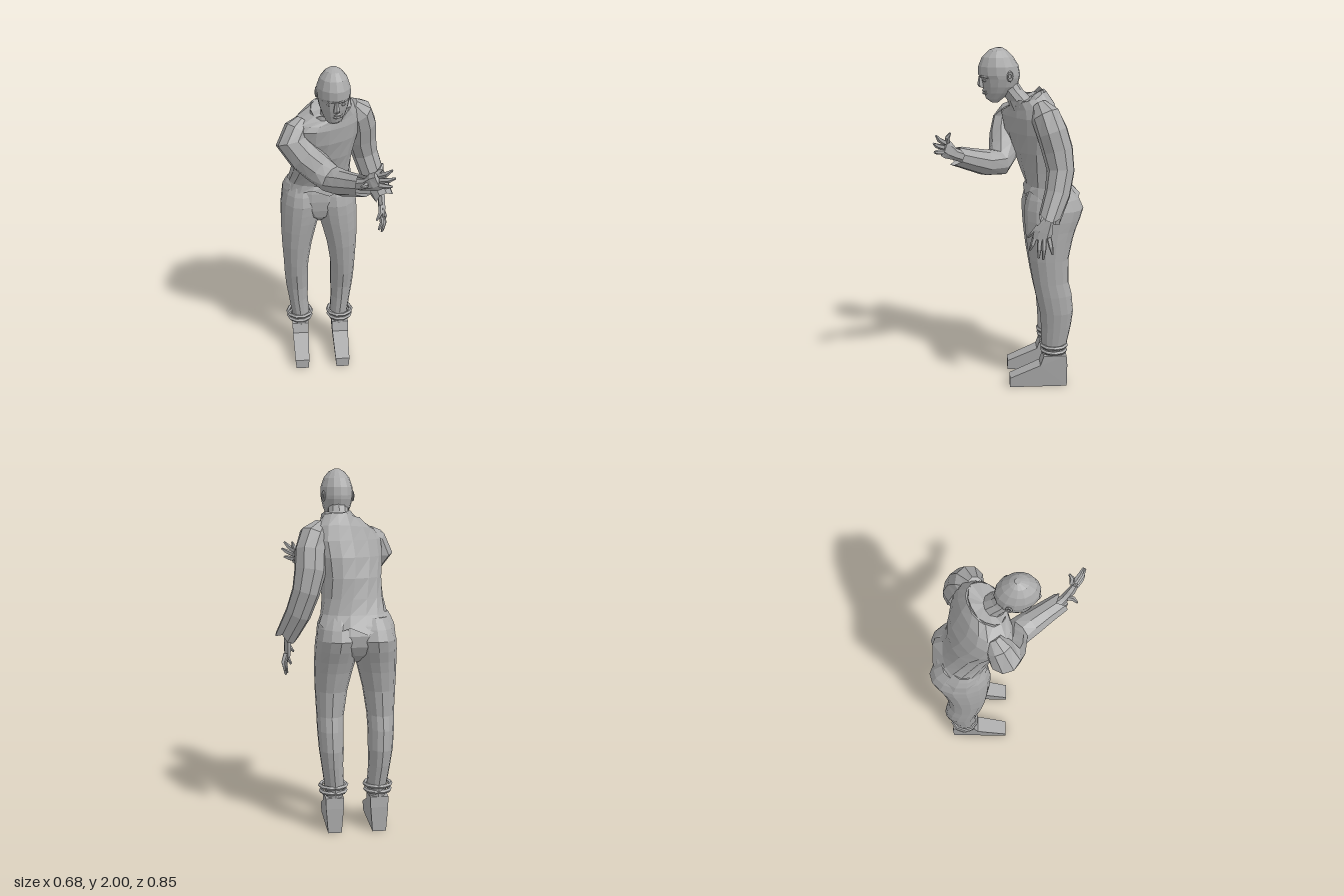
import * as THREE from 'three';

const grey = new THREE.MeshStandardMaterial({ color: 0xaaaaaa });
grey.name = 'plain grey';
grey.flatShading = true;
grey.side = THREE.DoubleSide;

// Skin through elliptical rings [x, y, z, radiusA, radiusB, yaw, slope].
// upright: rings lie level (A across x, B along z); otherwise they follow the path, with A along ref x path.
function loft(name, rings, o = {}) {
  const { seg = 9, upright = false, ref = [0, 0, 1], square = 1, jagStart = 0, jagEnd = 0, capStart = true, capEnd = true } = o;
  const C = rings.map(r => new THREE.Vector3(r[0], r[1], r[2]));
  const pos = [], idx = [], n = rings.length;
  const bend = v => 1.03 * Math.sign(v) * Math.abs(v) ** square;
  rings.forEach((r, k) => {
    const [, , , a, b = a, yaw = 0, slope = 0] = r;
    const T = upright ? new THREE.Vector3(0, 1, 0)
      : C[Math.min(k + 1, n - 1)].clone().sub(C[Math.max(k - 1, 0)]).normalize();
    const U = upright ? new THREE.Vector3(Math.cos(yaw), 0, -Math.sin(yaw))
      : new THREE.Vector3(...ref).cross(T).normalize();
    const V = T.clone().cross(U);
    const jag = k === 0 ? jagStart : k === n - 1 ? jagEnd : 0;
    for (let i = 0; i < seg; i++) {
      const t = (i + 0.5) / seg * Math.PI * 2;
      const p = C[k].clone().addScaledVector(U, a * bend(Math.cos(t))).addScaledVector(V, b * bend(Math.sin(t)));
      p.y += (p.z - C[k].z) * slope;
      p.addScaledVector(T, jag * Math.sin(i * 2.4 + 1));
      pos.push(p.x, p.y, p.z);
    }
  });
  for (let k = 0; k < n - 1; k++) for (let i = 0; i < seg; i++) {
    const a = k * seg + i, b = k * seg + (i + 1) % seg;
    idx.push(a, b, b + seg, a, b + seg, a + seg);
  }
  const cap = (k, flip) => {
    const c = pos.length / 3;
    pos.push(C[k].x, C[k].y, C[k].z);
    for (let i = 0; i < seg; i++) {
      const a = k * seg + i, b = k * seg + (i + 1) % seg;
      flip ? idx.push(c, b, a) : idx.push(c, a, b);
    }
  };
  if (capStart) cap(0, true);
  if (capEnd) cap(n - 1, false);
  const g = new THREE.BufferGeometry();
  g.setAttribute('position', new THREE.Float32BufferAttribute(pos, 3));
  g.setIndex(idx);
  g.computeVertexNormals();
  const m = new THREE.Mesh(g, grey);
  m.name = name;
  return m;
}

// Palm plus five bent fingers; each finger is [base, tip]
function hand(name, palm, ref, fingers, curl) {
  const g = new THREE.Group();
  g.name = name;
  g.add(loft('palm', palm, { seg: 6, ref }));
  for (const [b, t] of fingers) {
    const mid = b.map((v, i) => (v + t[i]) / 2 + curl[i]);
    g.add(loft('finger', [[...b, 0.015], [...mid, 0.013], [...t, 0.006]], { seg: 5, ref }));
  }
  return g;
}

function shoe() {
  const s = new THREE.Shape();
  [[0, 0], [0, 0.06], [0.18, 0.14], [0.2, 0.2], [0.335, 0.2], [0.34, 0.14], [0.34, 0]]
    .forEach(([x, y], i) => i ? s.lineTo(x, y) : s.moveTo(x, y));
  const g = new THREE.ExtrudeGeometry(s, { depth: 0.1, bevelEnabled: false });
  g.translate(0, 0, -0.05).rotateY(Math.PI / 2);
  const p = g.attributes.position;
  // narrow towards the sole
  for (let i = 0; i < p.count; i++) p.setX(i, p.getX(i) * (0.76 + 0.26 * Math.min(1, p.getY(i) / 0.16)));
  g.computeVertexNormals();
  const m = new THREE.Mesh(g, grey);
  m.name = 'shoe';
  return m;
}

function makeHead() {
  const g = new THREE.Group();
  g.name = 'head';
  // level slices: height, front z, back z, half width
  const slices = [
    [1.70, 0.1, 0.06, 0.028], [1.72, 0.127, 0.035, 0.044], [1.755, 0.138, -0.01, 0.062], [1.79, 0.147, -0.045, 0.075],
    [1.835, 0.153, -0.057, 0.085], [1.855, 0.168, -0.058, 0.088], [1.9, 0.168, -0.05, 0.086],
    [1.95, 0.148, -0.02, 0.07], [1.985, 0.112, 0.015, 0.043], [2.0, 0.07, 0.04, 0.015]];
  g.add(loft('skull', slices.map(([y, f, b, w]) => [-0.027, y, (f + b) / 2, w, (f - b) / 2, 0.1]), { seg: 14, upright: true }));
  g.add(loft('nose', [[-0.018, 1.785, 0.148, 0.019, 0.018], [-0.018, 1.798, 0.156, 0.018, 0.02],
    [-0.018, 1.845, 0.156, 0.009, 0.012]], { seg: 6, upright: true }));
  for (const y of [1.752, 1.766])
    g.add(loft('lip', [[-0.045, y, 0.125, 0.004], [-0.017, y, 0.141, 0.009], [0.012, y, 0.127, 0.004]], { seg: 5 }));
  for (const s of [-1, 1]) {
    g.add(loft('brow', [[-0.019 + s * 0.012, 1.845, 0.157, 0.008], [-0.02 + s * 0.038, 1.85, 0.15, 0.009],
      [-0.023 + s * 0.066, 1.842, 0.12, 0.005]], { seg: 5 }));
    const eye = new THREE.Mesh(new THREE.IcosahedronGeometry(0.013, 1), grey);
    eye.name = 'eye';
    eye.scale.y = 0.7;
    eye.position.set(-0.02 + s * 0.036, 1.825, 0.135);
    g.add(eye);
    const ear = new THREE.Mesh(new THREE.TorusGeometry(0.016, 0.008, 5, 9), grey);
    ear.name = 'ear';
    ear.scale.set(0.8, 1.35, 0.8);
    ear.rotation.y = Math.PI / 2 + s * 0.3;
    ear.position.set(-0.03 + s * 0.084, 1.85, 0.008 - s * 0.008);
    g.add(ear);
  }
  return g;
}

export function createModel() {
  const model = new THREE.Group();
  model.name = 'leaning figure';
  const mid = -0.095;

  // legs, cuffs and shoes, mirrored about the hip centre
  for (const s of [-1, 1]) {
    const leg = [[0.12, 0.19, -0.265, 0.048, 0.068], [0.122, 0.27, -0.265, 0.054, 0.074], [0.133, 0.38, -0.273, 0.059, 0.086],
      [0.138, 0.47, -0.274, 0.067, 0.095], [0.142, 0.58, -0.256, 0.071, 0.102], [0.141, 0.66, -0.238, 0.074, 0.1],
      [0.134, 0.8, -0.226, 0.088, 0.112], [0.122, 0.91, -0.23, 0.103, 0.13], [0.113, 0.97, -0.236, 0.111, 0.142],
      [0.106, 1.03, -0.246, 0.117, 0.156], [0.099, 1.09, -0.254, 0.119, 0.166], [0.096, 1.15, -0.247, 0.108, 0.147],
      [0.092, 1.21, -0.235, 0.085, 0.11]];
    model.add(loft(s < 0 ? 'rightLeg' : 'leftLeg', leg.map(([x, ...r]) => [mid + s * x, ...r]), { seg: 14, upright: true }));
    for (const [y, r] of [[0.225, 0.07], [0.257, 0.074]]) {
      const cuff = new THREE.Mesh(new THREE.TorusGeometry(r, 0.012, 5, 10), grey);
      cuff.name = 'ankleCuff';
      cuff.rotation.x = Math.PI / 2;
      cuff.position.set(mid + s * 0.126, y, -0.262);
      model.add(cuff);
    }
    const sh = shoe();
    sh.position.x = mid + s * 0.125;
    model.add(sh);
  }
  model.add(loft('hips', [[mid, 0.965, -0.235, 0.02, 0.07], [mid, 1.01, -0.243, 0.1, 0.125], [mid, 1.06, -0.25, 0.19, 0.145],
    [mid, 1.12, -0.25, 0.212, 0.15], [mid, 1.17, -0.243, 0.206, 0.138], [mid, 1.21, -0.23, 0.19, 0.115],
    [mid, 1.235, -0.225, 0.176, 0.098]], { seg: 16, upright: true, square: 0.95 }));

  // shirt body twists towards the shoulders, with ragged hem and neckline
  model.add(loft('shirt', [[-0.09, 1.165, -0.248, 0.198, 0.158, 0.02, 0.12], [-0.088, 1.225, -0.224, 0.178, 0.122, 0.05],
    [-0.083, 1.31, -0.197, 0.166, 0.124, 0.2], [-0.075, 1.42, -0.17, 0.17, 0.133, 0.35],
    [-0.068, 1.53, -0.14, 0.197, 0.133, 0.48], [-0.06, 1.62, -0.118, 0.207, 0.122, 0.52],
    [-0.05, 1.675, -0.11, 0.178, 0.106, 0.52, -0.2], [-0.03, 1.72, -0.1, 0.115, 0.09, 0.5, -0.45]],
  { seg: 16, upright: true, square: 0.88, jagStart: 0.022, jagEnd: 0.006, capStart: false }));
  model.add(loft('collar', [[-0.03, 1.7, -0.1, 0.122, 0.09, 0.5, -0.45], [-0.03, 1.73, -0.095, 0.116, 0.085, 0.5, -0.45]],
    { seg: 14, upright: true, jagEnd: 0.014, capStart: false, capEnd: false }));
  model.add(loft('neck', [[-0.025, 1.64, -0.1, 0.085, 0.08], [-0.025, 1.71, -0.06, 0.064, 0.068],
    [-0.027, 1.77, -0.01, 0.056, 0.062], [-0.027, 1.82, 0.02, 0.053, 0.06]], { seg: 10, upright: true }));
  model.add(makeHead());

  // left arm hangs down
  model.add(loft('leftSleeve', [[0.085, 1.7, -0.16, 0.04], [0.125, 1.645, -0.19, 0.08], [0.15, 1.56, -0.225, 0.085],
    [0.155, 1.46, -0.255, 0.085], [0.18, 1.35, -0.272, 0.075], [0.22, 1.23, -0.25, 0.07], [0.28, 1.1, -0.2, 0.06]],
  { jagEnd: 0.022, capEnd: false }));
  model.add(hand('leftHand', [[0.255, 1.16, -0.22, 0.03], [0.275, 1.09, -0.195, 0.022, 0.03],
    [0.275, 1.03, -0.17, 0.02, 0.05], [0.275, 0.985, -0.16, 0.016, 0.05]], [0, 0, 1],
  [[[0.268, 1.0, -0.125], [0.25, 0.92, -0.098]], [[0.275, 0.99, -0.15], [0.275, 0.88, -0.145]],
    [[0.28, 0.99, -0.175], [0.285, 0.875, -0.17]], [[0.285, 1.0, -0.2], [0.292, 0.905, -0.22]],
    [[0.265, 1.06, -0.145], [0.235, 0.99, -0.088]]], [0.012, 0, 0]));

  // right arm folds across the chest, palm raised
  model.add(loft('rightSleeve', [[-0.185, 1.655, -0.06, 0.04], [-0.22, 1.615, -0.032, 0.07], [-0.25, 1.555, -0.005, 0.088],
    [-0.19, 1.48, 0.015, 0.088], [-0.115, 1.408, 0.025, 0.085], [-0.04, 1.352, 0.06, 0.076], [0.015, 1.365, 0.14, 0.071],
    [0.065, 1.395, 0.22, 0.062], [0.11, 1.425, 0.295, 0.055]], { ref: [1, 0.2, -0.5], jagEnd: 0.022, capEnd: false }));
  model.add(hand('rightHand', [[0.09, 1.415, 0.26, 0.03], [0.125, 1.44, 0.31, 0.022, 0.032],
    [0.155, 1.47, 0.345, 0.019, 0.048], [0.18, 1.49, 0.365, 0.015, 0.048]], [0, 1, 0],
  [[[0.175, 1.52, 0.345], [0.205, 1.572, 0.33]], [[0.185, 1.515, 0.36], [0.247, 1.567, 0.405]],
    [[0.19, 1.492, 0.37], [0.262, 1.527, 0.418]], [[0.185, 1.465, 0.37], [0.247, 1.478, 0.415]],
    [[0.125, 1.45, 0.325], [0.09, 1.465, 0.378]]], [0.006, 0, 0.008]));
  return model;
}
